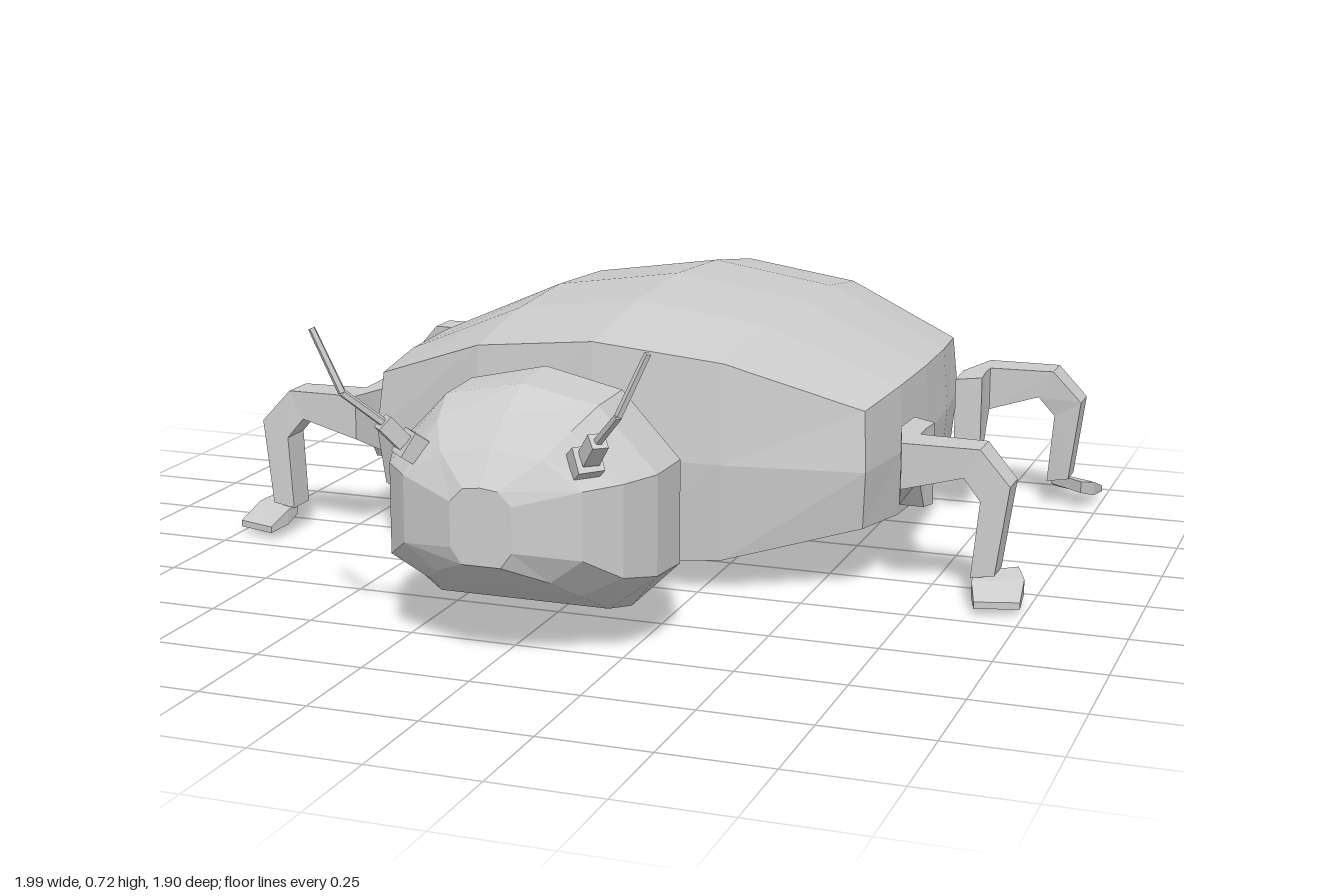
import * as THREE from 'three';

const material = new THREE.MeshStandardMaterial({ color: 0xcccccc, flatShading: true });

function addMesh(parent, name, geometry) {
  const mesh = new THREE.Mesh(geometry, material);
  mesh.name = name;
  parent.add(mesh);
}

// Skin a list of equal-sized rings and cap both ends; flip reverses the winding.
function loft(rings, flip = false) {
  const n = rings[0].length, index = [];
  const tri = (a, b, c) => (flip ? index.push(a, c, b) : index.push(a, b, c));
  for (let r = 0; r < rings.length - 1; r++) {
    for (let i = 0; i < n; i++) {
      const a = r * n + i, b = r * n + (i + 1) % n;
      tri(a, b, b + n);
      tri(a, b + n, a + n);
    }
  }
  const last = (rings.length - 1) * n;
  for (let i = 1; i < n - 1; i++) {
    tri(0, i + 1, i);
    tri(last, last + i, last + i + 1);
  }
  const g = new THREE.BufferGeometry();
  g.setAttribute('position', new THREE.Float32BufferAttribute(rings.flat(2), 3));
  g.setIndex(index);
  const flat = g.toNonIndexed();
  flat.computeVertexNormals();
  return flat;
}

// Body: a segmented box bulged outward on every side.
function bodyGeometry() {
  const g = new THREE.BoxGeometry(2, 2, 2, 4, 2, 4);
  const p = g.attributes.position;
  for (let i = 0; i < p.count; i++) {
    const u = p.getX(i), v = p.getY(i), w = p.getZ(i);
    const bu = 1 - u * u, bv = 1 - v * v, bw = 1 - w * w;
    const top = 0.44 + 0.02 * bw + bu * (0.15 + 0.04 * bw);
    const bottom = 0.16 - 0.03 * bw - bu * (0.1 + 0.025 * bw);
    p.setXYZ(i,
      u * (0.61 + 0.035 * bw + 0.01 * bv),
      THREE.MathUtils.lerp(bottom, top, (v + 1) / 2),
      -0.325 + w * (0.45 + 0.155 * bu + 0.022 * bv));
  }
  g.computeVertexNormals();
  return g;
}

// Ten-sided head or neck section.
function section(z, w, top, shoulder, upper, lower, bottom) {
  const a = 0.57 * w, b = 0.64 * w;
  return [[w, lower], [w, upper], [a, shoulder], [0, top], [-a, shoulder],
    [-w, upper], [-w, lower], [-b, bottom], [0, bottom], [b, bottom]].map(([x, y]) => [x, y, z]);
}

// Leg sections: centre, sideways half-extent, upward half-extent.
const LEG = [
  [[0.69, 0.27, -0.13], [0.03, 0, 0.02], [0, 0.1, 0]],
  [[0.685, 0.275, -0.04], [0.03, 0, 0], [0, 0.095, 0]],
  [[0.705, 0.315, 0.065], [0.01, 0, -0.05], [0, 0.055, 0]],
  [[0.86, 0.335, 0.07], [0, 0, -0.045], [0.018, 0.035, 0]],
  [[0.917, 0.27, 0.08], [0, 0, -0.042], [0.034, 0.02, 0]],
  [[0.895, 0.075, 0.09], [0, 0, -0.04], [0.028, 0.005, 0]],
];
const FOOT = [
  [[0.915, 0.065, 0.07], [0.045, 0, -0.035], [0, 0.015, 0]],
  [[0.93, 0.05, 0.12], [0.055, 0, -0.03], [0, 0.018, 0]],
  [[0.943, 0.03, 0.19], [0.05, 0, -0.015], [0, 0.008, 0]],
];

// Build a limb from sections; back limbs mirror about the body's middle.
function limb(sections, side, back) {
  const rings = sections.map(([c, u, v]) =>
    [[1, 1], [-1, 1], [-1, -1], [1, -1]].map(([s, t]) => {
      const [x, y, z] = c.map((k, i) => k + s * u[i] + t * v[i]);
      return [side * x, y, back ? -0.74 - z : z];
    }));
  return loft(rings, (side < 0) !== back);
}

// Straight faceted rod between two points.
function rod(from, to, r0, r1, sides) {
  const a = new THREE.Vector3(...from), b = new THREE.Vector3(...to);
  const dir = b.clone().sub(a);
  const g = new THREE.CylinderGeometry(r1, r0, dir.length(), sides);
  g.applyQuaternion(new THREE.Quaternion().setFromUnitVectors(
    new THREE.Vector3(0, 1, 0), dir.normalize()));
  const m = a.add(b).multiplyScalar(0.5);
  return g.translate(m.x, m.y, m.z);
}

export function createModel() {
  const model = new THREE.Group();
  model.name = 'beetle';
  addMesh(model, 'body', bodyGeometry());

  addMesh(model, 'neck', loft([
    section(0.315, 0.19, 0.415, 0.41, 0.36, 0.28, 0.25),
    section(0.47, 0.19, 0.415, 0.41, 0.36, 0.28, 0.25),
  ]));
  addMesh(model, 'head', loft([
    section(0.46, 0.19, 0.415, 0.41, 0.36, 0.28, 0.25),
    section(0.56, 0.313, 0.59, 0.55, 0.405, 0.17, 0.06),
    section(0.7, 0.31, 0.58, 0.545, 0.405, 0.18, 0.095),
    section(0.8, 0.27, 0.53, 0.51, 0.405, 0.2, 0.15),
    section(0.87, 0.205, 0.475, 0.46, 0.4, 0.25, 0.195),
    section(0.93, 0.07, 0.405, 0.4, 0.37, 0.27, 0.235),
  ]));

  for (const side of [1, -1]) {
    const sideName = side > 0 ? 'left' : 'right';

    // Legs with splayed feet
    for (const back of [false, true]) {
      const leg = new THREE.Group();
      leg.name = sideName + (back ? 'BackLeg' : 'FrontLeg');
      addMesh(leg, 'leg', limb(LEG, side, back));
      addMesh(leg, 'foot', limb(FOOT, side, back));
      model.add(leg);
    }

    // Antenna: stepped socket and a bent feeler
    const antenna = new THREE.Group();
    antenna.name = sideName + 'Antenna';
    const path = [[0.175, 0.43, 0.81], [0.212, 0.467, 0.85], [0.245, 0.515, 0.88],
      [0.31, 0.585, 0.935], [0.375, 0.72, 0.94]].map(([x, y, z]) => [side * x, y, z]);
    const parts = [['socket', 0.042, 0.042, 4], ['joint', 0.026, 0.026, 4],
      ['lowerFeeler', 0.01, 0.009, 5], ['upperFeeler', 0.009, 0.008, 5]];
    parts.forEach(([name, r0, r1, n], i) =>
      addMesh(antenna, name, rod(path[i], path[i + 1], r0, r1, n)));
    model.add(antenna);
  }
  return model;
}
